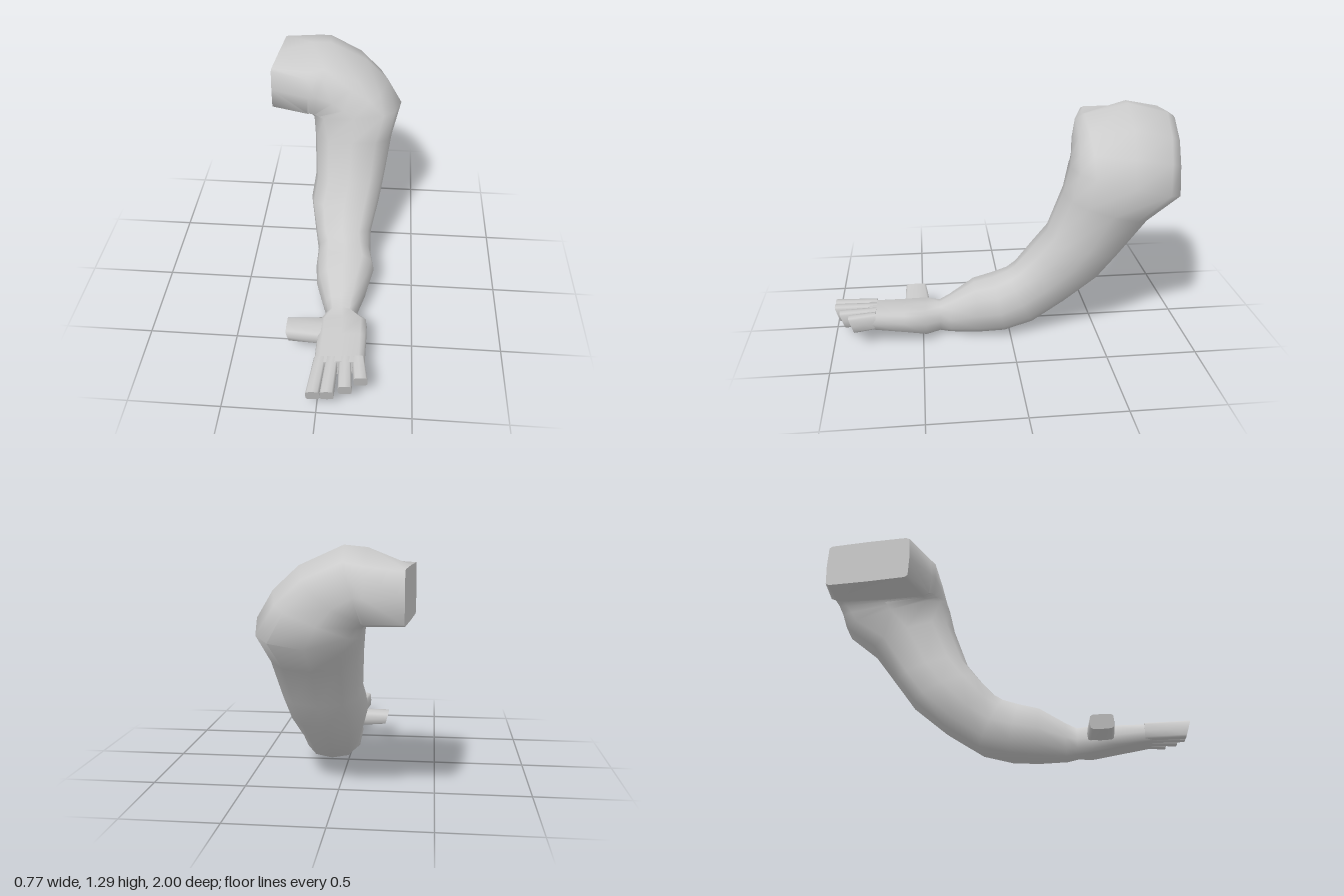
import * as THREE from 'three';
import { toCreasedNormals } from 'three/addons/utils/BufferGeometryUtils.js';

const SIDES = 12;
const material = new THREE.MeshStandardMaterial({ color: 0xcccccc });

// Rings have a centre c, half-axes u and v (u x v along the travel), a squareness e,
// and a ridge that raises the +u side to a gable.
function loft(name, rings) {
  const pos = [], index = [];
  const bend = (t, e) => Math.abs(t) < 1e-6 ? 0 : Math.sign(t) * Math.abs(t) ** e;
  for (const { c, u, v, e, ridge = 0 } of rings) {
    for (let j = 0; j < SIDES; j++) {
      const a = (j / SIDES) * Math.PI * 2;
      const q = bend(Math.sin(a), e);
      let p = bend(Math.cos(a), e);
      if (p > 0) p += ridge * (1 - Math.abs(q));
      for (let k = 0; k < 3; k++) pos.push(c[k] + u[k] * p + v[k] * q);
    }
  }
  for (let i = 0; i < rings.length - 1; i++) {
    for (let j = 0; j < SIDES; j++) {
      const n = (j + 1) % SIDES;
      const a = i * SIDES + j, b = i * SIDES + n, c = b + SIDES, d = a + SIDES;
      index.push(a, b, c, a, c, d);
    }
  }
  // end caps
  const first = rings.length * SIDES, last = first - SIDES;
  pos.push(...rings[0].c, ...rings[rings.length - 1].c);
  for (let j = 0; j < SIDES; j++) {
    const n = (j + 1) % SIDES;
    index.push(first, n, j, first + 1, last + j, last + n);
  }
  const geo = new THREE.BufferGeometry();
  geo.setAttribute('position', new THREE.Float32BufferAttribute(pos, 3));
  geo.setIndex(index);
  const mesh = new THREE.Mesh(toCreasedNormals(geo, 1.2), material);
  mesh.name = name;
  return mesh;
}

// shoulder ring: fans round the armpit, out to a peak on the shoulder outline
function shoulderRing([x, y], t) {
  const hinge = [-0.17 + 0.02 * t, 0.935 - 0.06 * t * t];
  const ridge = 0.6 - 0.5 * t;
  const u = [(x - hinge[0]) / (2 + ridge), (y - hinge[1]) / (2 + ridge), 0];
  return {
    c: [hinge[0] + u[0], hinge[1] + u[1], -0.7 + 0.06 * t],
    u, v: [0, 0.075 * t * t, 0.3], e: 0.25 + 0.3 * t, ridge,
  };
}

// limb ring: centre x, half width, then the upper and the lower point as y, z
function limbRing([x, w, y1, z1, y2, z2], e, tilt) {
  return {
    c: [x, (y1 + y2) / 2, (z1 + z2) / 2],
    u: [w, w * tilt, 0], v: [0, (y1 - y2) / 2, (z1 - z2) / 2], e,
  };
}

export function createModel() {
  const model = new THREE.Group();
  model.name = 'arm';

  const stub = { c: [-0.37, 1.07, -0.725], u: [0, 0.13, 0], v: [-0.02, 0, 0.245], e: 0.15 };
  const shoulder = [[-0.165, 1.28], [-0.05, 1.29], [0.17, 1.19], [0.3, 1.07], [0.385, 0.93]];
  // upper arm, elbow, forearm, wrist
  const limb = [
    [0.1, 0.235, 0.83, -0.305, 0.69, -0.775],
    [0.09, 0.21, 0.6, -0.22, 0.48, -0.62],
    [0.067, 0.207, 0.485, -0.135, 0.335, -0.515],
    [0.065, 0.17, 0.376, -0.04, 0.18, -0.33],
    [0.08, 0.158, 0.353, 0.007, 0.057, -0.137],
    [0.092, 0.173, 0.325, 0.09, 0.019, 0.03],
    [0.085, 0.15, 0.296, 0.2, 0.004, 0.18],
    [0.088, 0.096, 0.212, 0.34, 0.004, 0.34],
    [0.092, 0.084, 0.182, 0.4, 0.018, 0.4],
  ];
  const palm = [
    [0.105, 0.137, 0.185, 0.48, 0.027, 0.48],
    [0.106, 0.137, 0.182, 0.6, 0.048, 0.6],
    [0.106, 0.136, 0.18, 0.8, 0.082, 0.8],
  ];
  model.add(loft('armAndPalm', [
    stub,
    ...shoulder.map((peak, i) => shoulderRing(peak, i / 4)),
    ...limb.map((r) => limbRing(r, 0.76, 0)),
    ...palm.map((r) => limbRing(r, 0.42, 0.1)),
  ]));

  // fingers: root x, tip x, tip z, height
  const fingers = [
    [0.001, -0.018, 0.985, 0.12],
    [0.066, 0.056, 0.985, 0.127],
    [0.135, 0.147, 0.95, 0.134],
    [0.205, 0.226, 0.895, 0.142],
  ];
  fingers.forEach(([rootX, tipX, tipZ, y], i) => {
    model.add(loft('finger' + (i + 1), [0, 0.5, 1].map((t) => ({
      c: [rootX + (tipX - rootX) * t, y + 0.004 * (1 - t), 0.76 + (tipZ - 0.76) * t],
      u: [0.033 + 0.004 * t, 0.003, 0],
      v: [0, 0.047, 0.015 * t],
      e: 0.45,
    }))));
  });

  // thumb, pointing out to the side
  model.add(loft('thumb', [0, 1].map((t) => ({
    c: [0.03 - 0.225 * t, 0.118 + 0.005 * t, 0.525 + 0.01 * t],
    u: [0, 0, 0.075 - 0.012 * t],
    v: [-0.01 * t, 0.045 - 0.008 * t, 0],
    e: 0.4,
  }))));

  return model;
}
